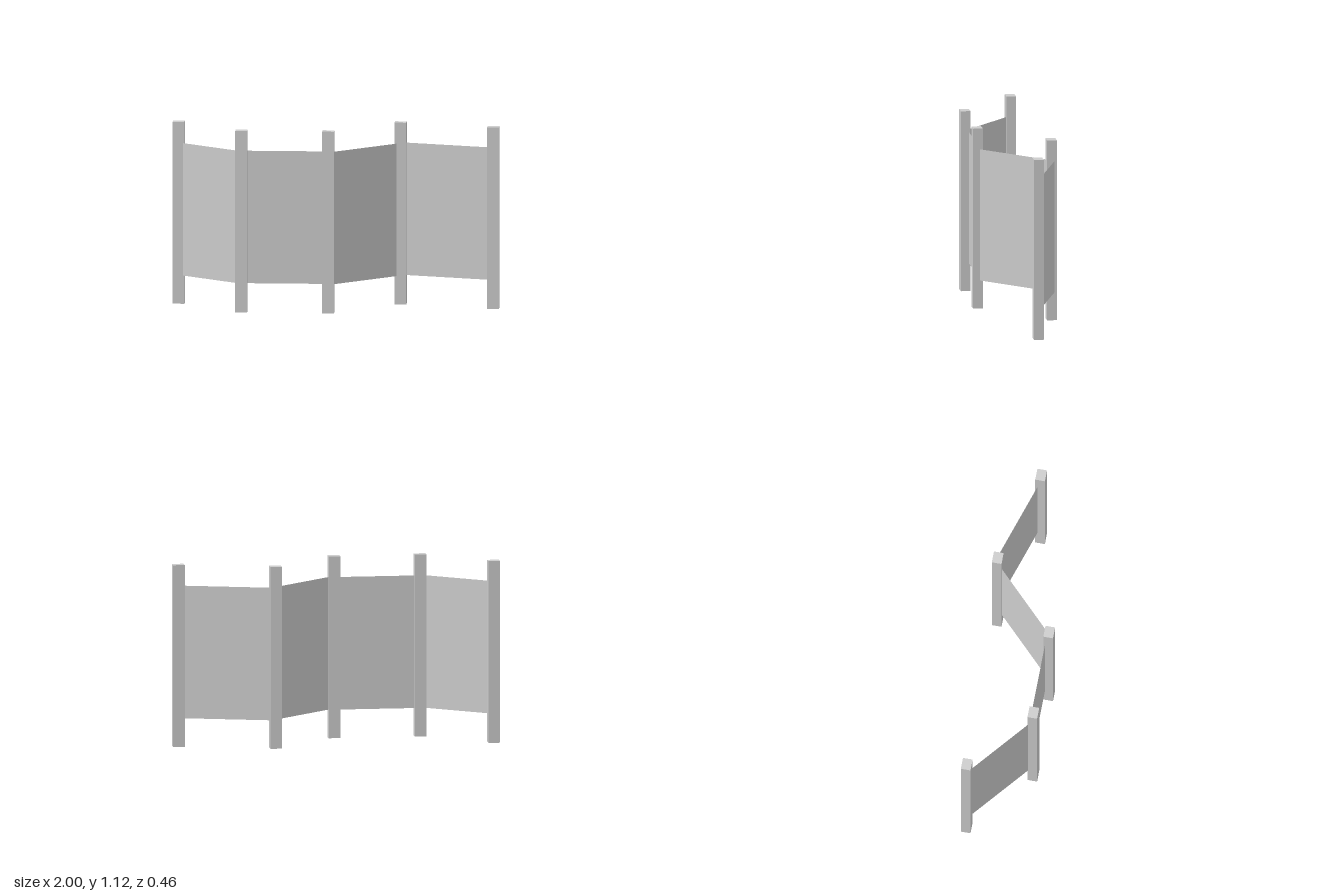
import * as THREE from 'three';

const POST = { w: 0.072, h: 1.12, d: 0.06 };
const PANEL_BOTTOM = 0.174, PANEL_TOP = 0.991, TUCK = 0.02;

// Post centres [x, z]
const posts = [[-0.964, -0.138], [-0.56, 0.2], [-0.029, 0.2], [0.388, -0.197], [0.964, -0.035]];

// Where each panel meets its two posts [x0, z0, x1, z1]
const panels = [
  [-0.937, -0.108, -0.596, 0.175],
  [-0.524, 0.181, -0.065, 0.181],
  [0.007, 0.188, 0.366, -0.167],
  [0.424, -0.213, 0.928, -0.052],
];

export function createModel() {
  const group = new THREE.Group();
  group.name = 'foldingScreen';
  const postMaterial = new THREE.MeshStandardMaterial({ color: 0xcccccc });
  const panelMaterial = new THREE.MeshStandardMaterial({ color: 0xcccccc, side: THREE.DoubleSide });

  // Upright square posts
  const postGeometry = new THREE.BoxGeometry(POST.w, POST.h, POST.d);
  posts.forEach(([x, z], i) => {
    const post = new THREE.Mesh(postGeometry, postMaterial);
    post.name = `post${i + 1}`;
    post.position.set(x, POST.h / 2, z);
    group.add(post);
  });

  // Thin sheets stretched between posts, tucked slightly into them
  panels.forEach(([x0, z0, x1, z1], i) => {
    const length = Math.hypot(x1 - x0, z1 - z0) + 2 * TUCK;
    const panel = new THREE.Mesh(new THREE.PlaneGeometry(length, PANEL_TOP - PANEL_BOTTOM), panelMaterial);
    panel.name = `panel${i + 1}`;
    panel.position.set((x0 + x1) / 2, (PANEL_TOP + PANEL_BOTTOM) / 2, (z0 + z1) / 2);
    panel.rotation.y = -Math.atan2(z1 - z0, x1 - x0);
    group.add(panel);
  });

  return group;
}
